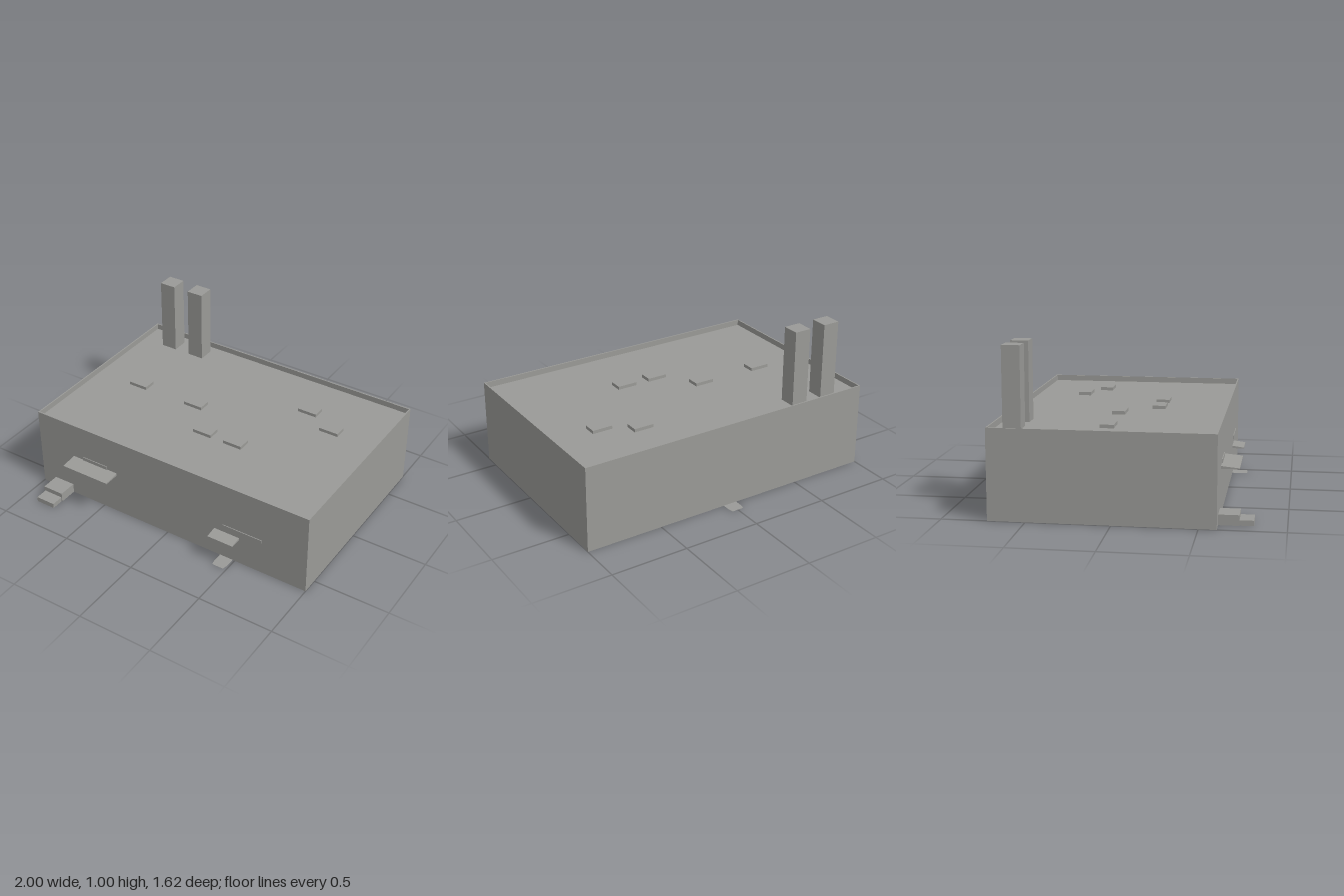
import * as THREE from 'three';

export function createModel() {
  const model = new THREE.Group();
  model.name = 'factoryBuilding';
  const concrete = new THREE.MeshStandardMaterial({ color: 0x9a9a97, side: THREE.DoubleSide });
  concrete.name = 'concrete grey';

  const add = (name, geometry) => {
    const mesh = new THREE.Mesh(geometry, concrete);
    mesh.name = name;
    model.add(mesh);
    return mesh;
  };
  // box given by its limits on each axis
  const box = (name, x0, x1, y0, y1, z0, z1) =>
    add(name, new THREE.BoxGeometry(x1 - x0, y1 - y0, z1 - z0))
      .position.set((x0 + x1) / 2, (y0 + y1) / 2, (z0 + z1) / 2);
  const polygon = (points) => new THREE.Shape(points.map(([x, y]) => new THREE.Vector2(x, y)));

  // thin outer walls, open below, rising past the roof as a parapet
  const back = -0.725, front = 0.605, top = 0.55, roofY = 0.512, t = 0.008;
  const outline = (d) => [[-1 + d, -front + d], [1 - d, -front + d], [1 - d, -back - d], [-1 + d, -back - d]];
  const plan = polygon(outline(0));
  plan.holes.push(polygon(outline(t)));
  add('walls', new THREE.ExtrudeGeometry(plan, { depth: top, bevelEnabled: false }).rotateX(-Math.PI / 2));
  add('roof', new THREE.ShapeGeometry(polygon(outline(t / 2))).rotateX(-Math.PI / 2)).position.y = roofY;

  // two square chimneys
  for (const x of [-0.78, -0.56]) box('chimney', x - 0.055, x + 0.055, roofY, 1.005, -0.665, -0.555);

  // low vents on the roof
  const vents = [[0.44, -0.4], [0.66, -0.285], [-0.665, -0.065], [-0.225, -0.065], [-0.005, 0.16], [0.22, 0.16]];
  for (const [x, z] of vents) box('roofVent', x - 0.066, x + 0.066, roofY, 0.533, z - 0.042, z + 0.042);

  // wedge awnings, profile in z and y, swept along x
  const awning = (x0, x1, y, z) => {
    const profile = polygon([[-front + 0.012, y], [-z, y], [-z, y + 0.006], [-front + 0.012, y + 0.018]]);
    add('awning', new THREE.ExtrudeGeometry(profile, { depth: x1 - x0, bevelEnabled: false }).rotateY(Math.PI / 2))
      .position.x = x0;
  };
  awning(-0.728, -0.385, 0.29, 0.715);
  awning(0.352, 0.53, 0.18, 0.683);

  // shallow window plates
  box('windowPlate', -0.65, -0.46, 0.3, 0.33, front - 0.002, front + 0.005);
  box('windowPlate', 0.415, 0.69, 0.225, 0.252, front - 0.002, front + 0.005);

  // entrance steps
  box('upperStep', -0.9, -0.755, 0, 0.063, 0.58, 0.727);
  box('lowerStep', -0.893, -0.76, 0, 0.032, 0.727, 0.81);

  // flat ground tabs with clipped corners
  const tab = (x, zWall, length, direction) => {
    const w = 0.046;
    const shape = polygon([[-w, 0], [w, 0], [w, length * 0.65], [w * 0.85, length], [-w * 0.85, length], [-w, length * 0.65]]);
    const mesh = add('groundTab', new THREE.ShapeGeometry(shape).rotateX(direction * Math.PI / 2));
    mesh.position.set(x, 0.001, zWall);
  };
  tab(0, back, 0.085, -1);
  tab(0.44, front, 0.1, 1);

  return model;
}
